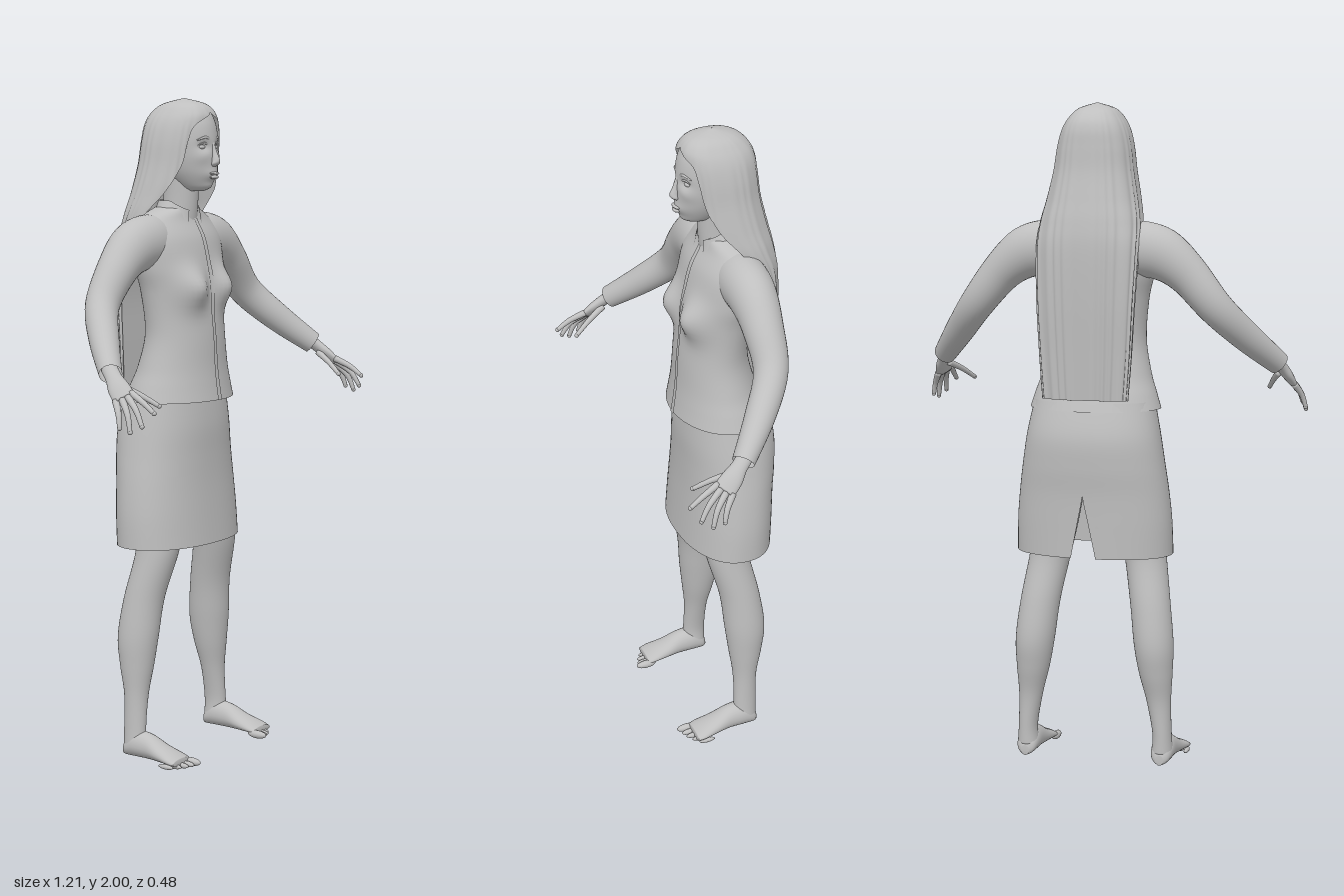
import * as THREE from 'three';
import { mergeVertices } from 'three/addons/utils/BufferGeometryUtils.js';

const grey = new THREE.MeshStandardMaterial({ color: 0xbfbfbf, side: THREE.DoubleSide });
grey.name = 'plain grey';
const V = (x, y, z) => new THREE.Vector3(x, y, z);
const clamp = THREE.MathUtils.clamp;
const bump = (d, w) => Math.exp(-(d * d) / (w * w));

// Smooth interpolation between rows of numbers, t from 0 to 1
function sample(rows, t) {
  const n = rows.length - 1, s = clamp(t, 0, 1) * n, i = Math.min(Math.floor(s), n - 1), f = s - i;
  const row = (k) => rows[clamp(k, 0, n)];
  return rows[i].map((_, k) => {
    const a = row(i - 1)[k], b = row(i)[k], c = row(i + 1)[k], d = row(i + 2)[k];
    return b + 0.5 * f * (c - a + f * (2 * a - 5 * b + 4 * c - d + f * (3 * (b - c) + d - a)));
  });
}

// Smooth surface from a grid of points
function grid(fn, nu, nv) {
  const pos = [], idx = [], w = nu + 1;
  for (let j = 0; j <= nv; j++) for (let i = 0; i <= nu; i++) pos.push(...fn(i / nu, j / nv).toArray());
  for (let j = 0; j < nv; j++) for (let i = 0; i < nu; i++) {
    const a = j * w + i;
    idx.push(a, a + 1, a + w, a + 1, a + w + 1, a + w);
  }
  let g = new THREE.BufferGeometry();
  g.setAttribute('position', new THREE.Float32BufferAttribute(pos, 3));
  g.setIndex(idx);
  g = mergeVertices(g, 1e-5);
  g.computeVertexNormals();
  return g;
}

// Point on a ring; row = [x, y, z, side radius, ref radius, gap]
function ringPoint(rows, t, u, o) {
  const r = sample(rows, t), gap = Math.max(0, r[5] || 0);
  const th = (o.start || 0) + gap + (Math.PI * 2 - 2 * gap) * u;
  let T = V(0, 1, 0);
  if (o.along) {
    const a = sample(rows, t - 0.01), b = sample(rows, t + 0.01);
    T = V(b[0] - a[0], b[1] - a[1], b[2] - a[2]).normalize();
  }
  const ref = (o.ref || V(0, 0, 1)).clone();
  const N2 = ref.addScaledVector(T, -ref.dot(T)).normalize(), N1 = T.clone().cross(N2);
  const se = (c) => Math.sign(c) * Math.pow(Math.abs(c), o.pow || 1);
  const k = o.squash ?? 1;
  const p = V(r[0], r[1], r[2])
    .addScaledVector(N1, r[3] * se(Math.sin(th)) * k)
    .addScaledVector(N2, r[4] * se(Math.cos(th)) * k);
  return o.warp && k ? o.warp(p, th, t) : p;
}

function loft(rows, o = {}) {
  const nv = o.nv || (rows.length - 1) * 6, e = o.cap ? 1 : 0, total = nv + 2 * e;
  return grid((u, v) => {
    const j = Math.round(v * total);
    const end = e && (j === 0 || j === total);
    return ringPoint(rows, clamp((j - e) / nv, 0, 1), u, end ? { ...o, squash: 0 } : o);
  }, o.nu || 40, total);
}

function add(parent, name, geometry) {
  const m = new THREE.Mesh(geometry, grey);
  m.name = name;
  parent.add(m);
  return m;
}

function ball(parent, name, p, s) {
  const m = add(parent, name, new THREE.SphereGeometry(1, 20, 14));
  m.position.set(...p);
  m.scale.set(...s);
  return m;
}

function buildHead(g) {
  const rows = [[0, 1.724, -0.02, 0.018, 0.028], [0, 1.738, -0.022, 0.038, 0.052], [0, 1.78, -0.036, 0.063, 0.084],
    [0, 1.83, -0.046, 0.077, 0.096], [0, 1.88, -0.05, 0.083, 0.098], [0, 1.93, -0.06, 0.08, 0.098],
    [0, 1.965, -0.06, 0.055, 0.075], [0, 1.985, -0.06, 0.01, 0.01]];
  // eye sockets, cheekbones, mouth and chin modelled into the face
  const warp = (p) => {
    if (p.z < -0.03) return p;
    const x = Math.abs(p.x);
    p.z += -0.012 * bump(x - 0.032, 0.017) * bump(p.y - 1.857, 0.015)
      + 0.006 * bump(x - 0.048, 0.02) * bump(p.y - 1.825, 0.02)
      + 0.007 * bump(x, 0.03) * bump(p.y - 1.772, 0.016)
      + 0.006 * bump(x, 0.025) * bump(p.y - 1.737, 0.012);
    return p;
  };
  add(g, 'head', loft(rows, { cap: true, nu: 72, nv: 60, warp }));
  add(g, 'neck', loft([[0, 1.58, -0.09, 0.06, 0.06], [0, 1.68, -0.075, 0.05, 0.055], [0, 1.79, -0.07, 0.052, 0.055]]));
  add(g, 'nose', loft([[0, 1.797, 0.045, 0.008, 0.008], [0, 1.806, 0.054, 0.014, 0.012], [0, 1.818, 0.055, 0.011, 0.014],
    [0, 1.84, 0.047, 0.008, 0.012], [0, 1.872, 0.04, 0.007, 0.008]], { cap: true, nu: 20 }));
  ball(g, 'upperLip', [0, 1.777, 0.051], [0.022, 0.005, 0.009]);
  ball(g, 'lowerLip', [0, 1.766, 0.05], [0.019, 0.006, 0.01]);
  for (const s of [1, -1]) {
    ball(g, 'eye', [s * 0.032, 1.855, 0.027], [0.014, 0.007, 0.009]);
    for (const [name, y, z, r] of [['eyelid', 1.861, 0.033, 0.003], ['eyebrow', 1.878, 0.037, 0.004]])
      add(g, name, loft([[s * 0.013, y, z + 0.005, r, r], [s * 0.032, y + 0.006, z + 0.002, r, r],
        [s * 0.054, y - 0.003, z - 0.012, r * 0.5, r * 0.5]], { along: true, cap: true, nu: 10 }));
  }
}

function buildHair(g) {
  const rows = [[0, 1.13, -0.195, 0.13, 0.03, 1.5], [0, 1.26, -0.193, 0.14, 0.038, 1.5], [0, 1.42, -0.19, 0.149, 0.048, 1.5],
    [0, 1.57, -0.165, 0.155, 0.074, 1.5], [0, 1.65, -0.125, 0.152, 0.105, 1.4], [0, 1.72, -0.097, 0.138, 0.117, 1.15],
    [0, 1.8, -0.082, 0.122, 0.114, 0.85], [0, 1.87, -0.075, 0.112, 0.113, 0.75], [0, 1.92, -0.07, 0.099, 0.111, 0.6],
    [0, 1.955, -0.064, 0.08, 0.1, 0], [0, 1.983, -0.06, 0.052, 0.067, 0], [0, 2.0, -0.06, 0.001, 0.001, 0]];
  // shallow strands, fading out towards the crown
  const warp = (p, th, t) => {
    const k = 0.003 * (1 - t) * Math.sin(th * 22 + Math.sin(th * 7) * 2);
    p.x += k * Math.sin(th);
    p.z += k * Math.cos(th);
    return p;
  };
  add(g, 'longHair', loft(rows, { nu: 100, nv: 80, pow: 0.85, warp }));
  // inner layer gives the loose length its thickness
  add(g, 'hairUnderside', grid((u, v) => {
    const r = sample(rows.slice(0, 5), v * 0.8);
    return V((u * 2 - 1) * r[3] * 0.98, r[1], r[2] - 0.002);
  }, 12, 20));
}

function buildClothes(g) {
  const torso = [[0, 1.095, -0.08, 0.2, 0.145], [0, 1.14, -0.075, 0.186, 0.133], [0, 1.2, -0.066, 0.167, 0.117],
    [0, 1.3, -0.058, 0.15, 0.103], [0, 1.42, -0.07, 0.16, 0.1], [0, 1.5, -0.08, 0.18, 0.103],
    [0, 1.58, -0.09, 0.185, 0.095], [0, 1.64, -0.1, 0.15, 0.075], [0, 1.675, -0.09, 0.068, 0.06]];
  const warp = (p) => {
    if (p.z > -0.06) p.z += 0.046 * bump(Math.abs(p.x) - 0.075, 0.052) * bump(p.y - 1.435, 0.055);
    return p;
  };
  add(g, 'jacket', loft(torso, { nu: 72, warp }));
  // front opening lies on the jacket surface
  add(g, 'placket', grid((u, v) => {
    const p = ringPoint(torso, v * 0.88, (-0.02 + u * 0.1) / (Math.PI * 2), { warp });
    p.z += 0.004;
    return p;
  }, 4, 50));
  add(g, 'collar', loft([[0, 1.625, -0.088, 0.108, 0.09, 0.5], [0, 1.66, -0.084, 0.078, 0.07, 0.42], [0, 1.695, -0.08, 0.06, 0.063, 0.45]], {
    warp: (p) => { p.y -= Math.max(0, p.z + 0.07) * 0.6; return p; },
  }));
  // skirt with a slit at the back hem
  add(g, 'skirt', loft([[0, 0.655, -0.085, 0.24, 0.14, 0.13], [0, 0.75, -0.09, 0.238, 0.138, 0.06], [0, 0.845, -0.095, 0.229, 0.137, 0],
    [0, 0.93, -0.1, 0.217, 0.14, 0], [0, 1.02, -0.1, 0.203, 0.14, 0], [0, 1.12, -0.09, 0.183, 0.122, 0]],
  { start: Math.PI, nu: 64, pow: 0.9 }));
}

function buildArm(g) {
  add(g, 'sleeve', loft([[0.08, 1.57, -0.1, 0.078, 0.07], [0.14, 1.572, -0.1, 0.083, 0.074], [0.21, 1.556, -0.1, 0.078, 0.07],
    [0.285, 1.5, -0.098, 0.062, 0.06], [0.37, 1.4, -0.088, 0.052, 0.05], [0.45, 1.31, -0.02, 0.045, 0.044],
    [0.53, 1.225, 0.065, 0.035, 0.033]], { along: true, nu: 32 }));
  // palm is broad from forefinger to little finger
  add(g, 'palm', loft([[0.518, 1.24, 0.05, 0.02, 0.024], [0.535, 1.215, 0.08, 0.017, 0.024], [0.547, 1.19, 0.106, 0.016, 0.031],
    [0.557, 1.163, 0.135, 0.011, 0.033]], { along: true, cap: true, nu: 24, ref: V(0.03, -0.017, -0.038) }));
  const fingers = [
    [[0.527, 1.195, 0.09], [0.502, 1.17, 0.145], [0.478, 1.138, 0.197]],
    [[0.54, 1.178, 0.145], [0.55, 1.155, 0.195], [0.553, 1.128, 0.235]],
    [[0.552, 1.168, 0.142], [0.57, 1.135, 0.185], [0.579, 1.092, 0.212]],
    [[0.562, 1.161, 0.13], [0.583, 1.122, 0.165], [0.594, 1.075, 0.182]],
    [[0.57, 1.157, 0.113], [0.589, 1.122, 0.138], [0.599, 1.085, 0.149]]];
  for (const f of fingers) {
    const rows = f.map((p, i) => [...p, 0.0105 - i * 0.002, 0.0105 - i * 0.002]);
    add(g, 'finger', loft(rows, { along: true, cap: true, nu: 14, ref: V(1, 0, 0) }));
    ball(g, 'fingertip', f[2], [0.0068, 0.0068, 0.0068]);
  }
}

function buildLeg(g) {
  add(g, 'leg', loft([[0.213, 0.04, -0.092, 0.033, 0.038], [0.213, 0.1, -0.094, 0.029, 0.036], [0.203, 0.2, -0.096, 0.037, 0.038],
    [0.194, 0.29, -0.1, 0.051, 0.053], [0.187, 0.38, -0.1, 0.06, 0.064], [0.173, 0.5, -0.086, 0.061, 0.063],
    [0.148, 0.65, -0.053, 0.064, 0.068], [0.13, 0.76, -0.06, 0.072, 0.08], [0.105, 0.94, -0.085, 0.085, 0.1]], { cap: true }));
  // foot sections run heel to toe: [z, centre x, half width, height]
  const foot = [[-0.132, 0.213, 0.012, 0.03], [-0.118, 0.213, 0.028, 0.055], [-0.085, 0.213, 0.035, 0.08], [-0.035, 0.213, 0.036, 0.076],
    [0.015, 0.214, 0.042, 0.052], [0.06, 0.216, 0.048, 0.034], [0.085, 0.216, 0.045, 0.022]];
  add(g, 'foot', grid((u, v) => {
    const j = Math.round(v * 38), [z, x, w, h] = sample(foot, clamp((j - 1) / 36, 0, 1));
    const k = j === 0 || j === 38 ? 0 : 1, a = u * Math.PI * 2, s = Math.sin(a);
    return V(x + k * w * Math.cos(a), 0.008 + h * 0.45 + k * h * (s < 0 ? 0.45 : 0.55) * s, z);
  }, 28, 38));
  for (let i = 0; i < 5; i++) {
    const r = i === 0 ? 0.0125 : 0.0095 - i * 0.0005;
    ball(g, 'toe', [0.178 + i * 0.0195, r, 0.092 - i * i * 0.0024], [r, r, i === 0 ? 0.034 : 0.027]);
  }
}

export function createModel() {
  const model = new THREE.Group();
  model.name = 'standingWoman';
  buildHead(model);
  buildHair(model);
  buildClothes(model);
  for (const [side, s] of [['left', 1], ['right', -1]]) {
    for (const [part, build] of [['Arm', buildArm], ['Leg', buildLeg]]) {
      const limb = new THREE.Group();
      limb.name = side + part;
      limb.scale.x = s;
      build(limb);
      model.add(limb);
    }
  }
  return model;
}
